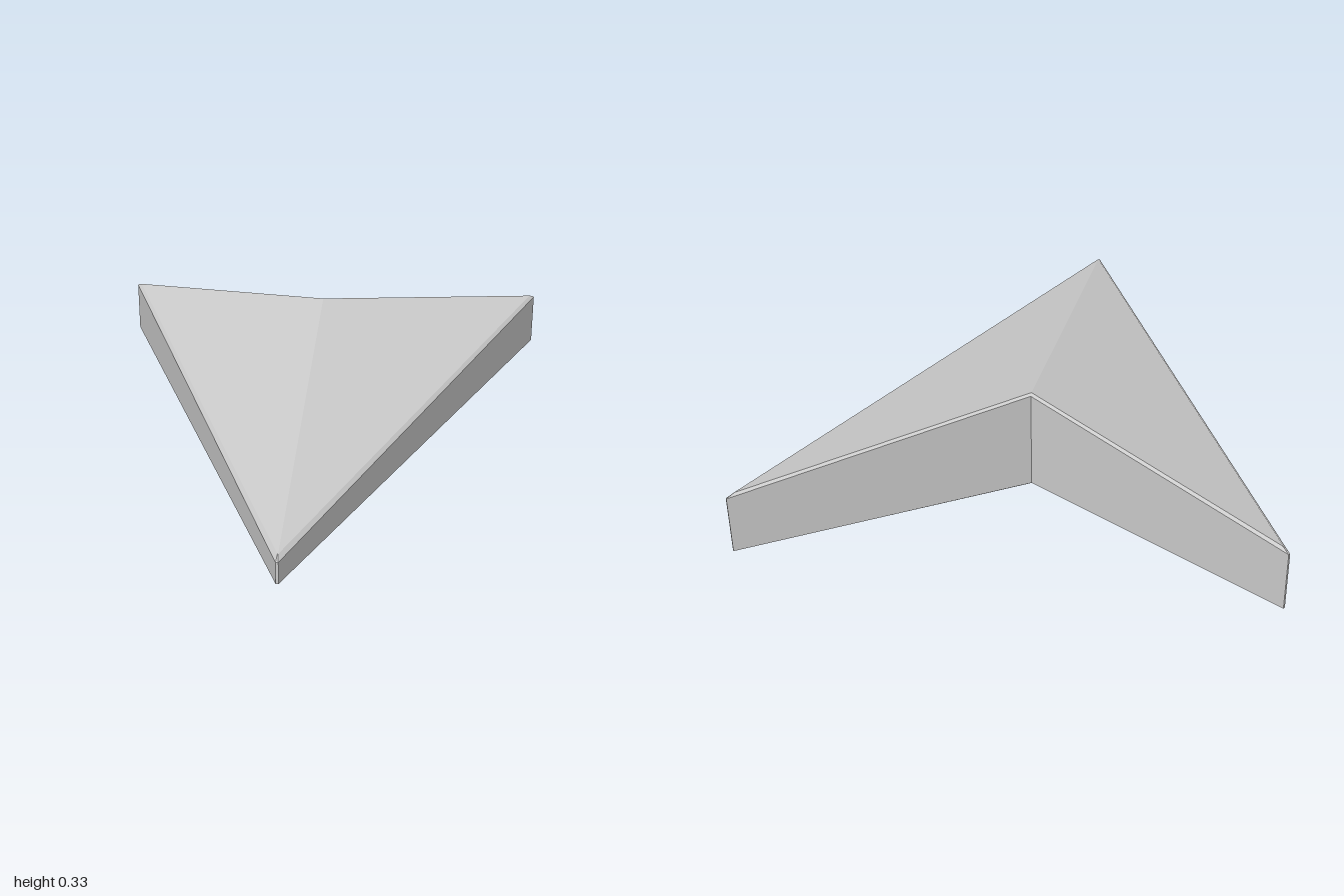
import * as THREE from 'three';

const BEVEL = 0.008;

// Height of the roof: two planes meeting at a central ridge
const roofY = (x, z) => 0.33 - 0.163 * (z + 0.498) - 0.265 * Math.abs(x);

// Right half of the plan: [outer x, outer z, inset x, inset z]
const half = [
  [0.004, 1, 0.001, 0.975],
  [0.8, -0.994, 0.78, -0.974],
  [0.796, -1, 0.779, -0.976],
];
const notch = [0, -0.51, 0, -0.498];
const mirrored = half.map(([ox, oz, ix, iz]) => [-ox, oz, -ix, iz]).reverse();
const plan = [...half, notch, ...mirrored];

function arrowGeometry() {
  const n = plan.length;
  // Cross-section loops from the underside to the roof
  const loops = [
    plan.map(([, , x, z]) => [x, 0, z]),
    plan.map(([x, z]) => [x, BEVEL, z]),
    plan.map(([x, z]) => [x, roofY(x, z) - BEVEL, z]),
    plan.map(([, , x, z]) => [x, roofY(x, z), z]),
  ];
  const index = [];

  // Lower bevel, walls and upper bevel
  for (let r = 0; r < loops.length - 1; r++) {
    for (let i = 0; i < n; i++) {
      const j = (i + 1) % n;
      const a = r * n + i, b = r * n + j;
      index.push(a, b, b + n, a, b + n, a + n);
    }
  }

  // Roof and underside, fanned from the rear notch
  const top = (loops.length - 1) * n;
  const hub = half.length;
  for (let k = 1; k < n - 1; k++) {
    const p = (hub + k) % n, q = (hub + k + 1) % n;
    index.push(top + hub, top + p, top + q);
    index.push(hub, q, p);
  }

  const geometry = new THREE.BufferGeometry();
  geometry.setAttribute('position', new THREE.Float32BufferAttribute(loops.flat(2), 3));
  geometry.setIndex(index);
  const faceted = geometry.toNonIndexed();
  faceted.computeVertexNormals();
  return faceted;
}

export function createModel() {
  const group = new THREE.Group();
  group.name = 'arrowhead';
  const material = new THREE.MeshStandardMaterial({ color: 0xcccccc, flatShading: true });
  const body = new THREE.Mesh(arrowGeometry(), material);
  body.name = 'arrowBody';
  group.add(body);
  return group;
}
